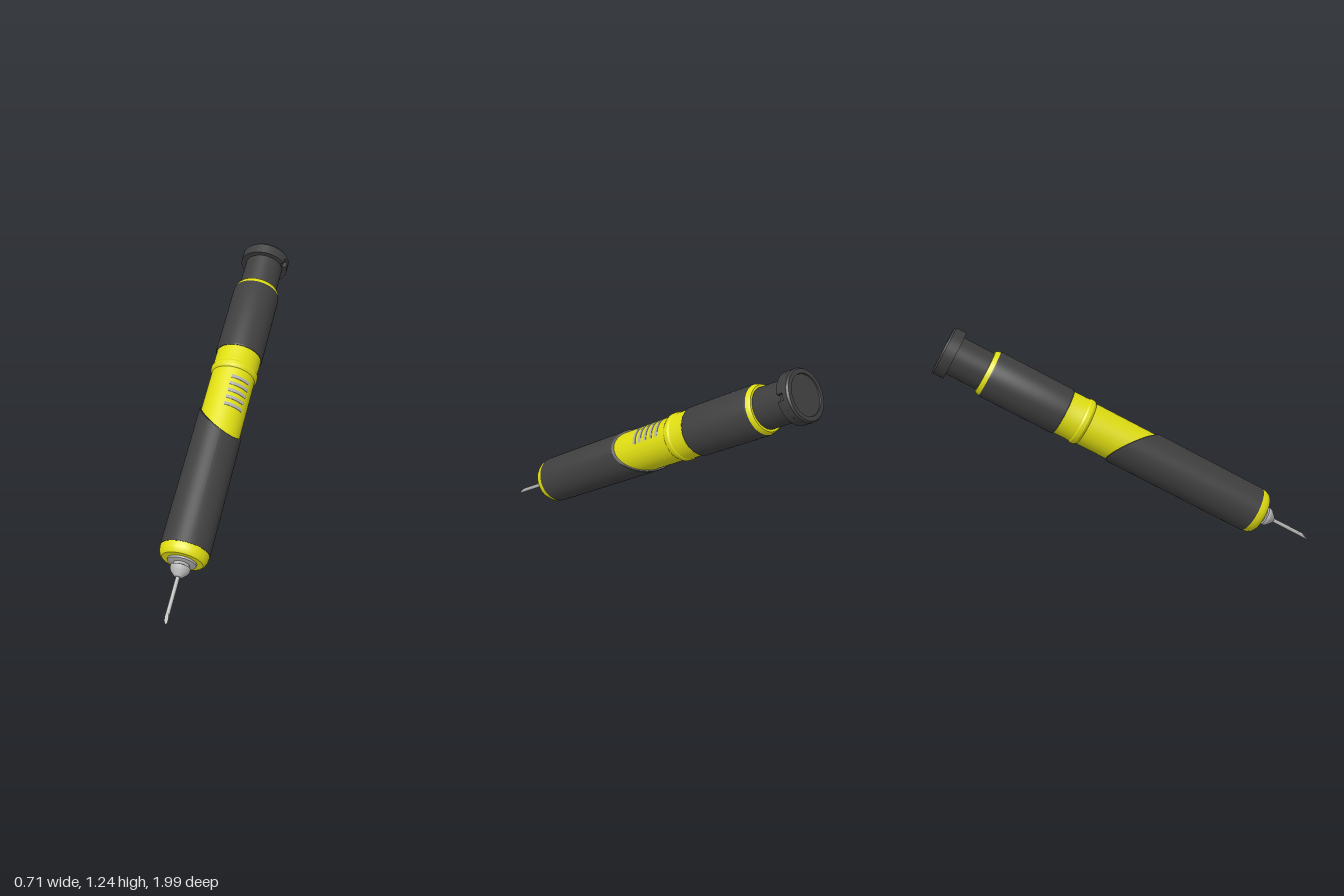
import * as THREE from 'three';
import { toCreasedNormals } from 'three/addons/utils/BufferGeometryUtils.js';

const SEG = 64;

export function createModel() {
  const yellow = new THREE.MeshStandardMaterial({ color: 0xe0de12 });
  const charcoal = new THREE.MeshStandardMaterial({ color: 0x3f3f3f });
  const silver = new THREE.MeshStandardMaterial({ color: 0xb2b2b2 });
  yellow.name = 'yellow plastic';
  charcoal.name = 'charcoal plastic';
  silver.name = 'silver metal';

  // The pen is built along +y from the needle tip, then tilted into place
  const pen = new THREE.Group();
  pen.name = 'pen';

  const add = (name, geometry, material) => {
    const mesh = new THREE.Mesh(geometry, material);
    mesh.name = name;
    pen.add(mesh);
    return mesh;
  };

  // Turned part from [radius, height] pairs, with an optional vertex rule
  const turned = (name, profile, material, rule, seg = SEG, start = 0, sweep = Math.PI * 2) => {
    const g = new THREE.LatheGeometry(profile.map(([r, y]) => new THREE.Vector2(r, y)), seg, start, sweep);
    if (rule) {
      const p = g.attributes.position;
      for (let i = 0; i < p.count; i++) p.setY(i, rule(p.getX(i), p.getY(i), p.getZ(i)));
    }
    return add(name, toCreasedNormals(g, Math.PI / 7), material);
  };

  // Needle with a bevelled tip
  const needleR = 0.011;
  turned('needle', [[0, 0], [needleR, 0], [needleR, 0.27]], silver,
    (x, y, z) => (y < 0.01 ? (z + needleR) * 2.5 : y), 16);

  // Needle hub: cone, collar and washer
  turned('needleHub', [[0, 0.245], [0.018, 0.245], [0.045, 0.272], [0.052, 0.285], [0.052, 0.3],
    [0.042, 0.305], [0.042, 0.318], [0.076, 0.322], [0.076, 0.34]], silver);

  // Nose ring with a rounded shoulder
  turned('noseRing', [[0.05, 0.333], [0.108, 0.333], [0.118, 0.342], [0.126, 0.36], [0.129, 0.385], [0.129, 0.4]], yellow);

  // Front grip, its rear end cut on a slant
  turned('frontGrip', [[0.12, 0.388], [0.131, 0.388], [0.131, 1.146], [0.128, 1.15], [0.117, 1.15]], charcoal,
    (x, y, z) => (y > 1 ? y - (0.095 * x + 0.07 * z) / 0.13 : y));

  // Middle barrel with a raised collar
  turned('barrel', [[0.121, 0.95], [0.121, 1.44], [0.126, 1.445], [0.131, 1.455], [0.131, 1.475], [0.126, 1.485],
    [0.126, 1.495], [0.125, 1.5], [0.125, 1.6]], yellow);

  // Five curved vents around the barrel's upper left
  for (let i = 0; i < 5; i++) {
    const y = 1.21 + i * 0.043, w = 0.009;
    turned('vent' + (i + 1), [[0.118, y - w], [0.1235, y - w], [0.125, y], [0.1235, y + w], [0.118, y + w]],
      silver, null, 14, THREE.MathUtils.degToRad(18), THREE.MathUtils.degToRad(54));
  }

  // Rear grip and its end ring
  turned('rearGrip', [[0.12, 1.58], [0.128, 1.58], [0.132, 1.586], [0.132, 2.012], [0.129, 2.022]], charcoal);
  turned('rearRing', [[0.129, 2.022], [0.125, 2.038], [0.119, 2.048], [0.1, 2.048]], yellow);

  // Push button: neck, notched flange and end disc
  turned('buttonNeck', [[0.107, 2.03], [0.107, 2.24]], charcoal);

  const notch = 0.13, mid = -0.15, R = 0.135, inner = 0.112;
  const flange = new THREE.Shape();
  flange.absarc(0, 0, R, mid + notch, mid - notch + Math.PI * 2, false);
  flange.absarc(0, 0, inner, mid - notch + Math.PI * 2, mid + notch + Math.PI * 2, false);
  const flangeGeo = new THREE.ExtrudeGeometry(flange, { depth: 0.035, bevelEnabled: false, curveSegments: SEG });
  flangeGeo.rotateX(-Math.PI / 2).translate(0, 2.226, 0);
  add('buttonFlange', toCreasedNormals(flangeGeo, Math.PI / 7), charcoal);

  turned('buttonEnd', [[0, 2.26], [R, 2.26], [R, 2.285], [0.128, 2.295], [0.106, 2.295], [0.104, 2.289], [0, 2.289]], charcoal);

  // Tilt the pen along its axis
  const axis = new THREE.Vector3(-0.236, 0.4875, -0.8406).normalize();
  const side = new THREE.Vector3(1, 0, 0).addScaledVector(axis, -axis.x).normalize();
  const up = new THREE.Vector3().crossVectors(side, axis);
  pen.quaternion.setFromRotationMatrix(new THREE.Matrix4().makeBasis(side, axis, up));
  pen.position.set(0.312, 0.01, 1.0);

  const model = new THREE.Group();
  model.name = 'injectorPen';
  model.add(pen);
  return model;
}
